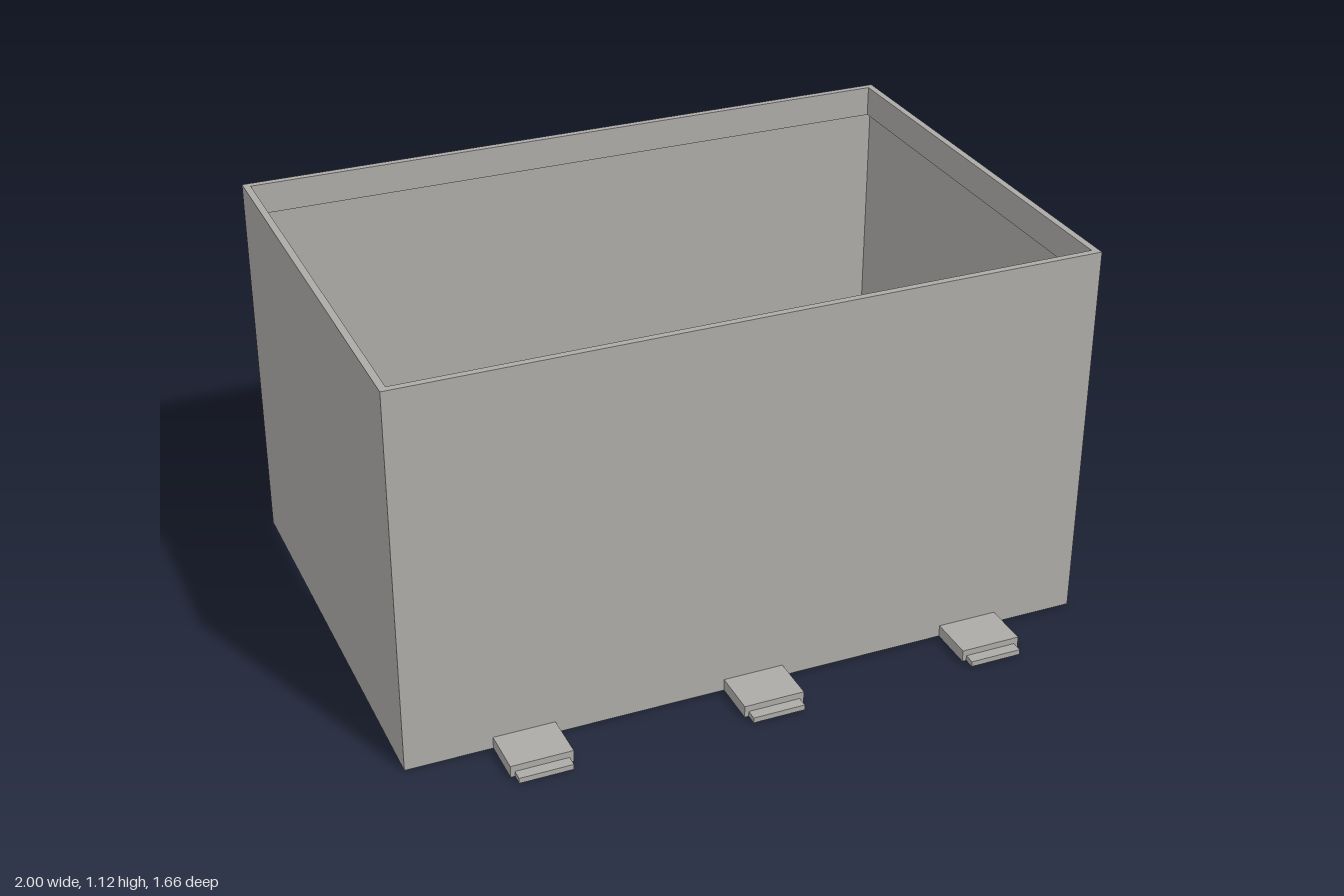
import * as THREE from 'three';

const HALF_X = 1, HALF_Z = 0.665, HEIGHT = 1.122;

// Sweeps a profile of [inset, y] points around a rectangle, with sharp corners.
function rectangularSweep(profile) {
  const corners = [[1, 1], [1, -1], [-1, -1], [-1, 1]];
  const at = ([sx, sz], [inset, y]) => [sx * (HALF_X - inset), y, sz * (HALF_Z - inset)];
  const positions = [];
  for (let c = 0; c < 4; c++) {
    const from = corners[c], to = corners[(c + 1) % 4];
    for (let i = 0; i + 1 < profile.length; i++) {
      const a = at(from, profile[i]), b = at(to, profile[i]);
      const d = at(from, profile[i + 1]), e = at(to, profile[i + 1]);
      positions.push(...a, ...b, ...e, ...a, ...e, ...d);
    }
  }
  const geometry = new THREE.BufferGeometry();
  geometry.setAttribute('position', new THREE.Float32BufferAttribute(positions, 3));
  geometry.computeVertexNormals();
  return geometry;
}

// A box resting on y = 0, running from z0 to z1, without its bottom and back faces.
function hollowCover(width, height, z0, z1) {
  const geometry = new THREE.BoxGeometry(width, height, z1 - z0);
  geometry.translate(0, height / 2, (z0 + z1) / 2);
  const index = Array.from(geometry.index.array);
  // Face order is +x, -x, +y, -y, +z, -z, with six indices each.
  geometry.setIndex([...index.slice(0, 18), ...index.slice(24, 30)]);
  geometry.clearGroups();
  return geometry;
}

export function createModel() {
  const model = new THREE.Group();
  model.name = 'openBin';

  const grey = new THREE.MeshStandardMaterial({ color: 0xacaaa7, side: THREE.DoubleSide });
  grey.name = 'warmGrey';

  // Thin walls, open above and below, with a thicker band inside the top edge
  const walls = new THREE.Mesh(rectangularSweep([
    [0, 0], [0, HEIGHT], [0.02, HEIGHT], [0.02, HEIGHT - 0.09], [0, HEIGHT - 0.09],
  ]), grey);
  walls.name = 'wallsWithRim';
  model.add(walls);

  // Three hollow clips along the front and three along the back
  const clipBody = hollowCover(0.176, 0.035, HALF_Z, 0.8);
  const clipTongue = hollowCover(0.152, 0.016, 0.8, 0.832);
  for (const turn of [0, Math.PI]) {
    for (const x of [-0.667, 0, 0.667]) {
      const clip = new THREE.Group();
      clip.name = turn ? 'backClip' : 'frontClip';
      const body = new THREE.Mesh(clipBody, grey);
      body.name = 'clipBody';
      const tongue = new THREE.Mesh(clipTongue, grey);
      tongue.name = 'clipTongue';
      clip.add(body, tongue);
      clip.position.x = x;
      clip.rotation.y = turn;
      model.add(clip);
    }
  }
  return model;
}
